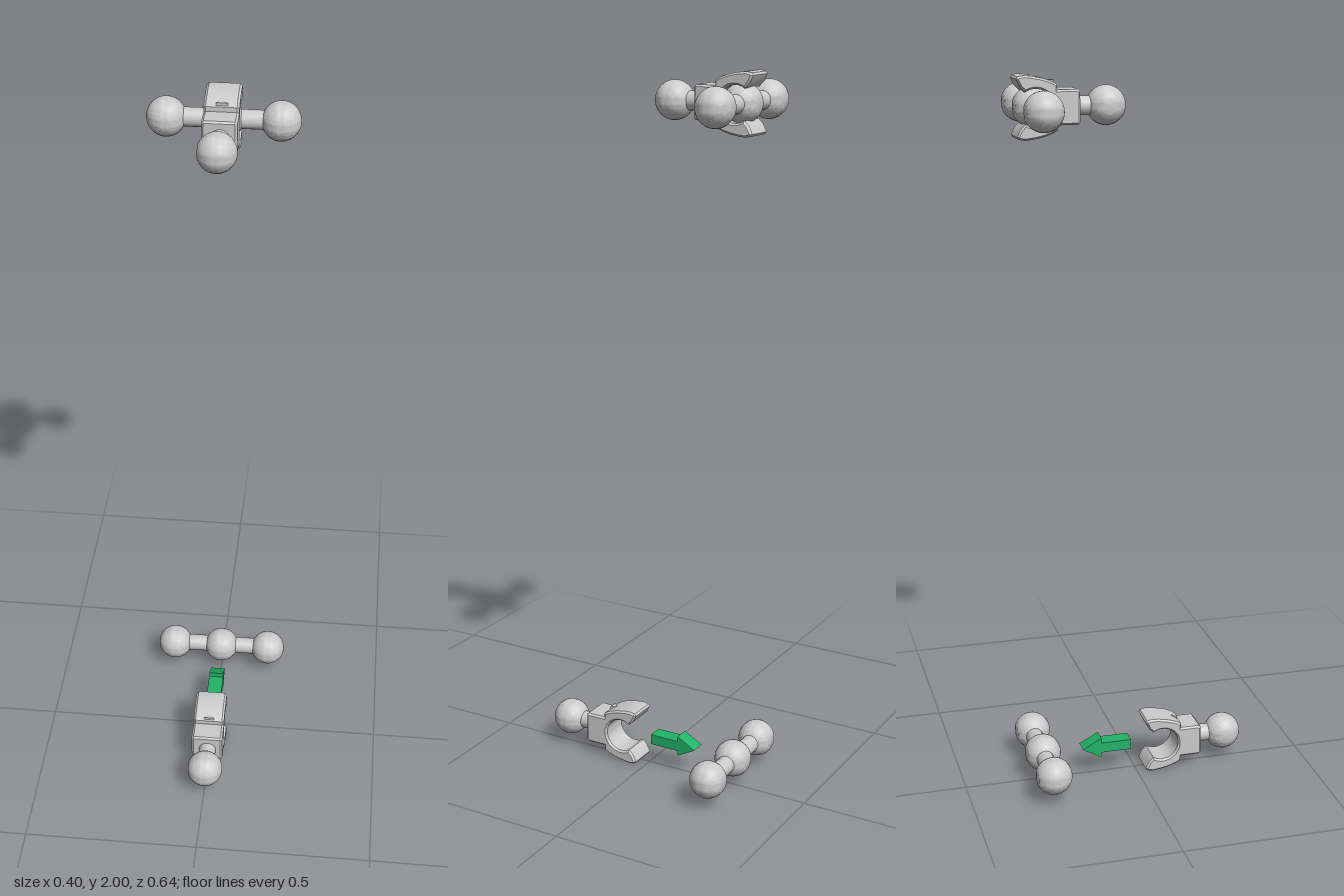
import * as THREE from 'three';
import { toCreasedNormals } from 'three/addons/utils/BufferGeometryUtils.js';

const grey = new THREE.MeshStandardMaterial({ color: 0xcccccc });
const green = new THREE.MeshStandardMaterial({ color: 0x22b368 });
const BALL = 0.052;

function add(parent, name, geometry, material = grey) {
  const mesh = new THREE.Mesh(geometry, material);
  mesh.name = name;
  parent.add(mesh);
  return mesh;
}

// Ball with one pole sliced flat; the flat faces +y
function flatBall(cut) {
  const points = [];
  const end = Math.asin(cut / BALL);
  for (let i = 0; i <= 24; i++) {
    const a = -Math.PI / 2 + (end + Math.PI / 2) * (i / 24);
    points.push(new THREE.Vector2(Math.max(0, BALL * Math.cos(a)), BALL * Math.sin(a)));
  }
  points[0].x = 0;
  points.push(new THREE.Vector2(0, cut));
  return toCreasedNormals(new THREE.LatheGeometry(points, 40), 0.5);
}

// Side profile of the clip: x runs toward the mouth, y is up, origin at the socket
function clipShape() {
  const upper = [
    [-0.117, 0.04], [-0.112, 0.045], [-0.057, 0.045], [-0.057, 0.058],
    [-0.045, 0.065], [-0.03, 0.071], [-0.012, 0.076], [0.01, 0.08],
    [0.03, 0.082], [0.046, 0.079], [0.05, 0.073], [0.04, 0.053], [0.027, 0.04],
  ];
  const shape = new THREE.Shape();
  upper.forEach(([x, y], i) => (i ? shape.lineTo(x, y) : shape.moveTo(x, y)));
  const start = Math.atan2(0.04, 0.027);
  for (let i = 1; i < 28; i++) {
    const a = start + (2 * Math.PI - 2 * start) * (i / 28);
    shape.lineTo(0.048 * Math.cos(a), 0.048 * Math.sin(a));
  }
  [...upper].reverse().forEach(([x, y]) => shape.lineTo(x, -y));
  shape.closePath();
  return shape;
}

// Clip with a gripping mouth toward -z and a ball toward +z
function makeClip(name) {
  const clip = new THREE.Group();
  clip.name = name;

  const body = new THREE.ExtrudeGeometry(clipShape(), {
    depth: 0.08, bevelEnabled: true, bevelSegments: 1,
    bevelThickness: 0.006, bevelSize: 0.005, bevelOffset: -0.005,
  });
  body.translate(0, 0, -0.041).rotateY(Math.PI / 2);
  add(clip, 'clipBody', toCreasedNormals(body, 0.45));

  // Small wedge marks on both arms
  for (const s of [1, -1]) {
    const wedge = new THREE.Shape();
    wedge.moveTo(-0.015, 0);
    wedge.lineTo(0.015, 0);
    wedge.lineTo(0, 0.015);
    wedge.closePath();
    const geo = new THREE.ExtrudeGeometry(wedge, { depth: 0.012, bevelEnabled: false });
    geo.rotateX(-Math.PI / 2);
    const mark = add(clip, 'wedgeMark', geo);
    mark.position.set(0, s > 0 ? 0.056 : -0.068, 0.053);
  }

  const neck = add(clip, 'neck', new THREE.CylinderGeometry(0.025, 0.025, 0.07, 32).rotateX(Math.PI / 2));
  neck.position.set(0.001, 0, 0.14);
  const ball = add(clip, 'clipBall', flatBall(0.048).rotateZ(Math.PI / 2));
  ball.position.set(0.001, 0, 0.195);
  return clip;
}

// Crossbar carrying three balls with flats at the back
function makeBar(name) {
  const bar = new THREE.Group();
  bar.name = name;
  const rod = add(bar, 'rod', new THREE.CylinderGeometry(0.025, 0.025, 0.28, 32).rotateZ(Math.PI / 2));
  rod.position.z = -0.004;
  for (const x of [-0.149, 0, 0.149]) {
    const ball = add(bar, 'barBall', flatBall(0.047).rotateX(-Math.PI / 2));
    ball.position.set(x, 0, -0.002);
  }
  return bar;
}

// Thick arrow pointing toward -z
function makeArrow() {
  const shape = new THREE.Shape();
  const pts = [[0.017, -0.015], [0.105, -0.015], [0.105, -0.03], [0.16, 0],
    [0.105, 0.03], [0.105, 0.015], [0.017, 0.015]];
  pts.forEach(([x, y], i) => (i ? shape.lineTo(x, y) : shape.moveTo(x, y)));
  shape.closePath();
  const geo = new THREE.ExtrudeGeometry(shape, { depth: 0.044, bevelEnabled: false });
  return geo.translate(0, 0, -0.023).rotateY(Math.PI / 2);
}

export function createModel() {
  const model = new THREE.Group();
  model.name = 'ballJointAssembly';
  const low = 0.084, high = 1.918, barZ = -0.272;

  // Separated pair below
  const lowerClip = makeClip('lowerClip');
  lowerClip.position.set(0, low, 0.073);
  const lowerBar = makeBar('lowerBar');
  lowerBar.position.set(0, low, barZ);
  const arrow = add(model, 'arrow', makeArrow(), green);
  arrow.position.y = low + 0.002;

  // Joined pair above
  const upperClip = makeClip('upperClip');
  upperClip.position.set(0, high, barZ);
  const upperBar = makeBar('upperBar');
  upperBar.position.set(0, high, barZ);

  model.add(lowerClip, lowerBar, upperClip, upperBar);
  return model;
}
